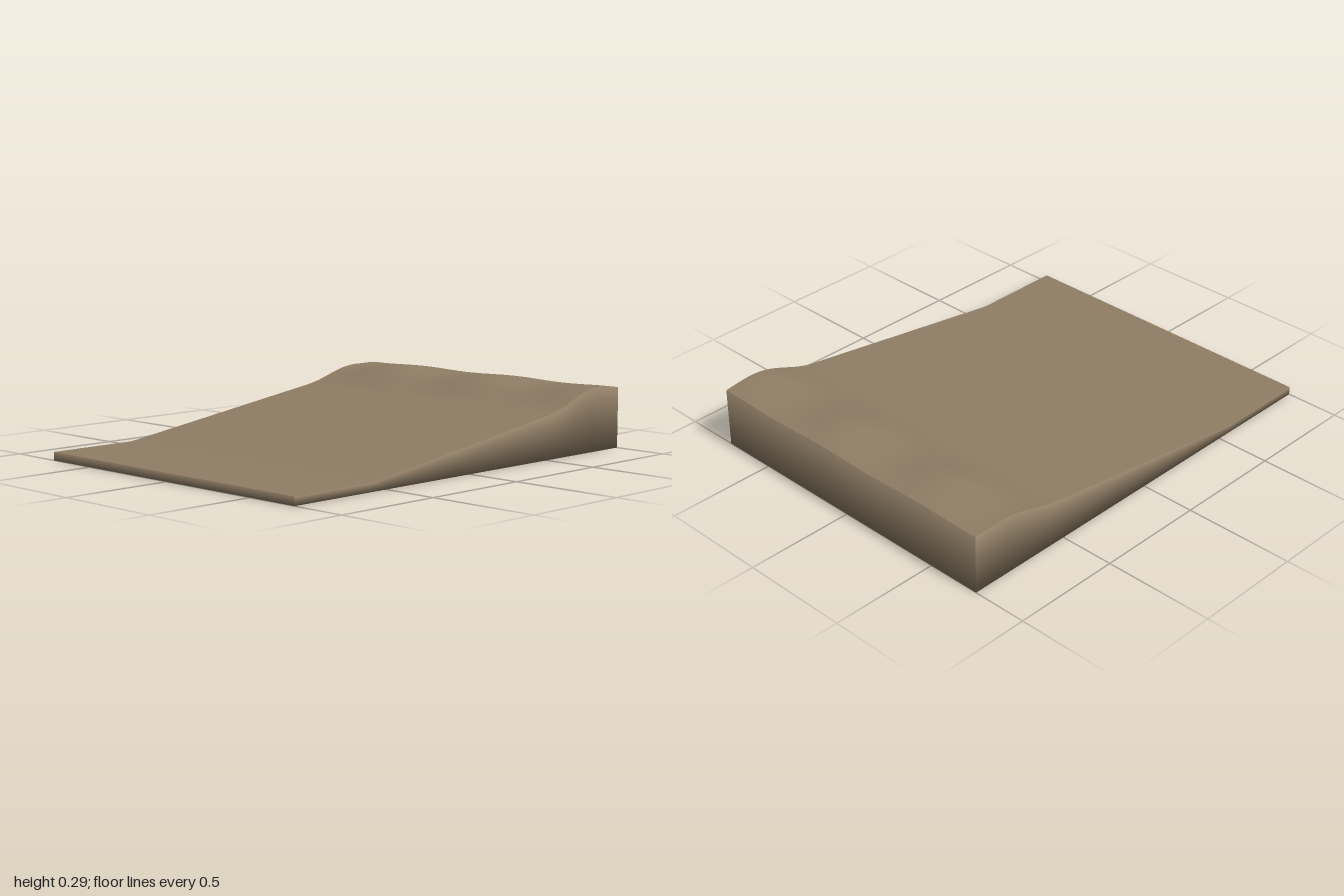
import * as THREE from 'three';

const HALF_X = 1, HALF_Z = 0.75, NX = 100, NZ = 72;

// Height of the ground: flat apron, even ramp, then a rippled crest.
function heightAt(x, z) {
  const ramp = 0.037 + 0.146 * Math.max(0, x + 0.57);
  const s = THREE.MathUtils.smoothstep(x, 0.52, 0.85);
  const ripple = 0.0095 * Math.cos((2 * Math.PI * (z - 0.15)) / 0.57);
  const fade = 1 - 0.65 * THREE.MathUtils.smoothstep(x, 0.87, 1);
  const crest = 0.278 - 0.4 * (x - 0.86) ** 2 + ripple * fade;
  return THREE.MathUtils.lerp(ramp, crest, s);
}

// One side wall, from the ground edge down to y = 0, with rounded shading.
function wall(name, from, to, out, steps, material) {
  const pos = [], nor = [], idx = [];
  const n = new THREE.Vector3(out[0], 1, out[1]).normalize();
  for (let i = 0; i <= steps; i++) {
    const x = THREE.MathUtils.lerp(from[0], to[0], i / steps);
    const z = THREE.MathUtils.lerp(from[1], to[1], i / steps);
    pos.push(x, heightAt(x, z), z, x, 0, z);
    nor.push(n.x, n.y, n.z, n.x, -n.y, n.z);
    if (i < steps) {
      const a = i * 2;
      idx.push(a, a + 1, a + 2, a + 2, a + 1, a + 3);
    }
  }
  const geo = new THREE.BufferGeometry();
  geo.setAttribute('position', new THREE.Float32BufferAttribute(pos, 3));
  geo.setAttribute('normal', new THREE.Float32BufferAttribute(nor, 3));
  geo.setIndex(idx);
  const mesh = new THREE.Mesh(geo, material);
  mesh.name = name;
  return mesh;
}

export function createModel() {
  const group = new THREE.Group();
  group.name = 'terrainRamp';
  const earth = new THREE.MeshStandardMaterial({ color: 0x907e66 });
  earth.name = 'earth brown';

  // Ground surface
  const geo = new THREE.PlaneGeometry(2 * HALF_X, 2 * HALF_Z, NX, NZ).rotateX(-Math.PI / 2);
  const p = geo.attributes.position;
  for (let i = 0; i < p.count; i++) p.setY(i, heightAt(p.getX(i), p.getZ(i)));
  geo.computeVertexNormals();
  const ground = new THREE.Mesh(geo, earth);
  ground.name = 'groundSurface';
  group.add(ground);

  // Flat underside
  const base = new THREE.Mesh(
    new THREE.PlaneGeometry(2 * HALF_X, 2 * HALF_Z).rotateX(Math.PI / 2), earth);
  base.name = 'underside';
  group.add(base);

  // Side walls
  const X = HALF_X, Z = HALF_Z;
  group.add(
    wall('frontWall', [-X, Z], [X, Z], [0, 1], NX, earth),
    wall('highEndWall', [X, Z], [X, -Z], [1, 0], NZ, earth),
    wall('backWall', [X, -Z], [-X, -Z], [0, -1], NX, earth),
    wall('lowEndWall', [-X, -Z], [-X, Z], [-1, 0], NZ, earth)
  );
  return group;
}
